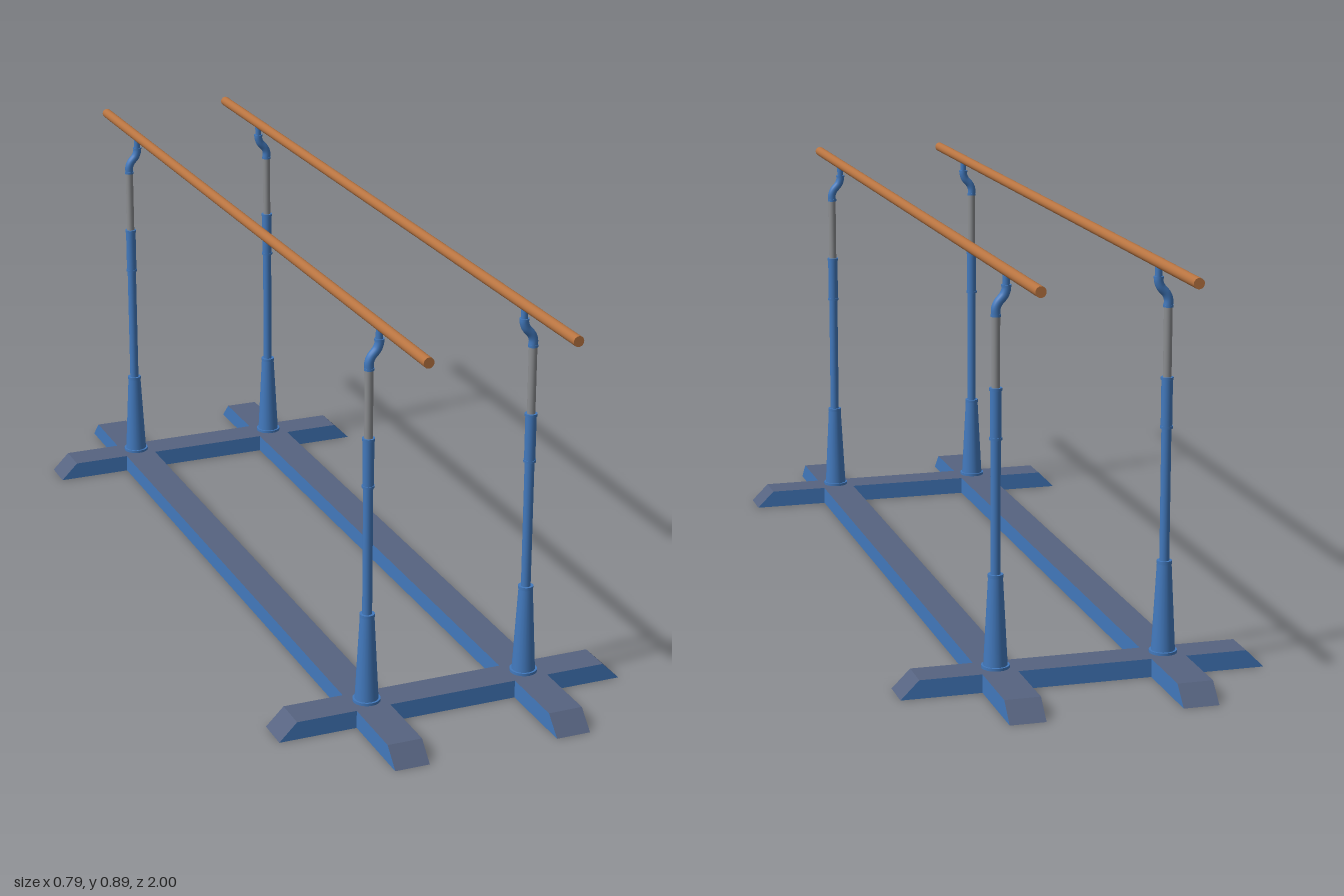
import * as THREE from 'three';

const mat = (name, color) => {
  const m = new THREE.MeshStandardMaterial({ color });
  m.name = name;
  return m;
};

export function createModel() {
  const blue = mat('blue paint', 0x4279bd);
  const slate = mat('slate grip', 0x566380);
  const steel = mat('steel', 0x8b8d90);
  const wood = mat('wood', 0xb87441);

  const model = new THREE.Group();
  model.name = 'parallelBars';
  const RAIL_X = 0.162, POST_X = 0.184, POST_Z = 0.76;

  const add = (parent, name, geometry, material) => {
    const mesh = new THREE.Mesh(geometry, material);
    mesh.name = name;
    parent.add(mesh);
    return mesh;
  };

  // Floor beam along z, with 45 degree ends and slate upper faces
  const beam = (name, width, length) => {
    const g = new THREE.BoxGeometry(width, 0.04, length).translate(0, 0.02, 0);
    const p = g.attributes.position;
    for (let i = 0; i < p.count; i++) {
      if (p.getY(i) > 0.02) p.setZ(i, p.getZ(i) - Math.sign(p.getZ(i)) * 0.04);
    }
    g.computeVertexNormals();
    return add(model, name, g, [blue, blue, slate, blue, slate, slate]);
  };

  // Post sections: name, bottom y, top y, bottom radius, top radius, material
  const sections = [
    ['flange', 0.038, 0.046, 0.03, 0.03, blue],
    ['taperedBase', 0.046, 0.235, 0.0255, 0.0155, blue],
    ['baseCollar', 0.235, 0.242, 0.0163, 0.0163, blue],
    ['lowerTube', 0.242, 0.527, 0.0105, 0.0105, blue],
    ['middleCollar', 0.527, 0.532, 0.0135, 0.0135, blue],
    ['upperTube', 0.532, 0.63, 0.012, 0.012, blue],
    ['upperCollar', 0.63, 0.636, 0.0135, 0.0135, blue],
    ['innerTube', 0.636, 0.784, 0.009, 0.009, steel],
    ['neckCollar', 0.783, 0.788, 0.0108, 0.0108, blue],
  ];

  for (const side of [-1, 1]) {
    const sideName = side > 0 ? 'left' : 'right';
    beam(sideName + 'LongBeam', 0.077, 2).position.x = side * POST_X;

    // Wooden handrail
    const rail = add(model, sideName + 'Rail', new THREE.CylinderGeometry(0.0115, 0.0115, 2, 20), wood);
    rail.rotation.x = Math.PI / 2;
    rail.position.set(side * RAIL_X, 0.877, 0);

    for (const end of [-1, 1]) {
      const post = new THREE.Group();
      post.name = sideName + (end > 0 ? 'FrontPost' : 'BackPost');
      post.position.set(side * POST_X, 0, end * POST_Z);
      model.add(post);
      for (const [name, y0, y1, r0, r1, material] of sections) {
        add(post, name, new THREE.CylinderGeometry(r1, r0, y1 - y0, 20), material).position.y = (y0 + y1) / 2;
      }
      // S-shaped neck bending inward to the rail
      const dx = side * (RAIL_X - POST_X);
      const path = new THREE.CatmullRomCurve3([
        [0, 0.785], [0, 0.8], [dx * 0.2, 0.811], [dx * 0.8, 0.827], [dx, 0.84], [dx, 0.848],
      ].map(([x, y]) => new THREE.Vector3(x, y, 0)));
      add(post, 'neck', new THREE.TubeGeometry(path, 20, 0.0098, 16), blue);
      add(post, 'neckTopCollar', new THREE.CylinderGeometry(0.0105, 0.0105, 0.004, 20), blue).position.set(dx, 0.846, 0);
      add(post, 'railPin', new THREE.CylinderGeometry(0.0075, 0.0075, 0.028, 16), blue).position.set(dx, 0.86, 0);
    }
  }

  // Cross beams under each pair of posts
  for (const end of [-1, 1]) {
    const cross = beam(end > 0 ? 'frontCrossBeam' : 'backCrossBeam', 0.077, 0.794);
    cross.rotation.y = Math.PI / 2;
    cross.position.z = end * POST_Z;
  }
  return model;
}
